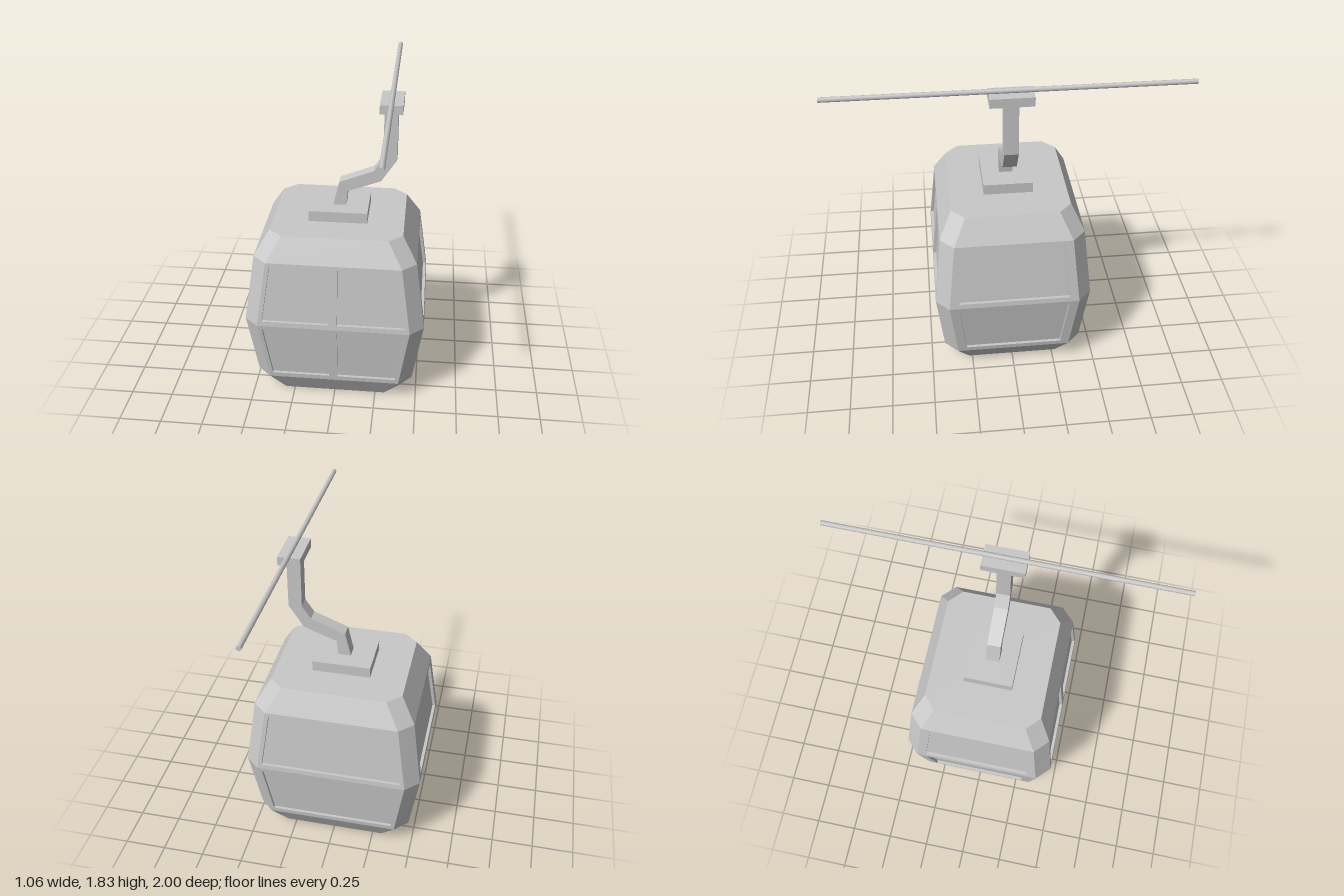
import * as THREE from 'three';

const grey = new THREE.MeshStandardMaterial({ color: 0xc8c8c8 });
grey.name = 'painted grey metal';

// cabin cross-sections: height, half width, half depth, and the flat part of each
const RINGS = [
  { y: 0, hx: 0.387, hz: 0.345, fx: 0.306, fz: 0.27 },
  { y: 0.132, hx: 0.473, hz: 0.418, fx: 0.393, fz: 0.34 },
  { y: 0.527, hx: 0.531, hz: 0.46, fx: 0.45, fz: 0.382 },
  { y: 0.935, hx: 0.473, hz: 0.418, fx: 0.391, fz: 0.34 },
  { y: 1.077, hx: 0.387, hz: 0.345, fx: 0.306, fz: 0.27 },
];
const RECESS = 0.018;

function add(parent, name, geometry, x = 0, y = 0, z = 0) {
  const mesh = new THREE.Mesh(geometry, grey);
  mesh.name = name;
  mesh.position.set(x, y, z);
  parent.add(mesh);
  return mesh;
}

const polygon = (points) => new THREE.Shape(points.map(([x, y]) => new THREE.Vector2(x, y)));

// octagonal shell; the window walls between rings 1 and 3 are left open
function shellGeometry() {
  const loops = RINGS.map(({ y, hx, hz, fx, fz }) => [
    [fx, y, hz], [hx, y, fz], [hx, y, -fz], [fx, y, -hz],
    [-fx, y, -hz], [-hx, y, -fz], [-hx, y, fz], [-fx, y, hz],
  ]);
  const pos = [];
  const tri = (a, b, c) => pos.push(...a, ...b, ...c);
  for (let r = 0; r < 4; r++) {
    for (let i = 0; i < 8; i++) {
      if ((r === 1 || r === 2) && i % 2 === 1) continue;
      const j = (i + 1) % 8;
      tri(loops[r][i], loops[r][j], loops[r + 1][j]);
      tri(loops[r][i], loops[r + 1][j], loops[r + 1][i]);
    }
  }
  for (let i = 1; i < 7; i++) {
    tri(loops[4][0], loops[4][i], loops[4][i + 1]);
    tri(loops[0][0], loops[0][i + 1], loops[0][i]);
  }
  const g = new THREE.BufferGeometry();
  g.setAttribute('position', new THREE.Float32BufferAttribute(pos, 3));
  g.computeVertexNormals();
  return g;
}

// sloping wall with recessed panels, built facing +z and then turned
function windowWall(name, lower, upper, flat, half, panes, angle) {
  const group = new THREE.Group();
  group.name = name;
  group.rotation.y = angle;
  const slope = (upper[half] - lower[half]) / (upper.y - lower.y);
  const lean = (geometry, shift) => {
    const p = geometry.attributes.position;
    for (let i = 0; i < p.count; i++) {
      p.setZ(i, p.getZ(i) + lower[half] + slope * (p.getY(i) - lower.y) + shift);
    }
    geometry.computeVertexNormals();
    return geometry;
  };
  const wall = polygon([
    [-lower[flat], lower.y], [lower[flat], lower.y],
    [upper[flat], upper.y], [-upper[flat], upper.y],
  ]);
  // panel edges follow the wall edges
  const y0 = lower.y + 0.03;
  const y1 = upper.y - 0.025;
  const edge = (y) => lower[flat] + (upper[flat] - lower[flat]) * (y - lower.y) / (upper.y - lower.y) - 0.025 - 0.03 * (flat === 'fz');
  const outlines = panes === 2
    ? [
      [[-edge(y0), y0], [-0.028, y0], [-0.028, y1], [-edge(y1), y1]],
      [[0.024, y0], [edge(y0), y0], [edge(y1), y1], [0.024, y1]],
    ]
    : [[[-edge(y0), y0], [edge(y0), y0], [edge(y1), y1], [-edge(y1), y1]]];
  for (const outline of outlines) {
    wall.holes.push(polygon(outline));
    add(group, 'recessedPanel', lean(new THREE.ShapeGeometry(polygon(outline)), -RECESS));
  }
  const frame = new THREE.ExtrudeGeometry(wall, { depth: RECESS, bevelEnabled: false });
  add(group, 'windowFrame', lean(frame, -RECESS));
  return group;
}

export function createModel() {
  const model = new THREE.Group();
  model.name = 'cableCar';

  // cabin
  const cabin = new THREE.Group();
  cabin.name = 'cabin';
  model.add(cabin);
  add(cabin, 'cabinShell', shellGeometry());
  const sides = [
    ['front', 'fx', 'hz', 2], ['left', 'fz', 'hx', 1],
    ['back', 'fx', 'hz', 1], ['right', 'fz', 'hx', 1],
  ];
  sides.forEach(([side, flat, half, panes], i) => {
    for (const [level, r] of [['Lower', 1], ['Upper', 2]]) {
      cabin.add(windowWall(`${side}${level}Wall`, RINGS[r], RINGS[r + 1], flat, half, panes, i * Math.PI / 2));
    }
  });

  // roof mount
  add(model, 'roofMount', new THREE.BoxGeometry(0.345, 0.065, 0.288), -0.002, 1.109, 0.002);

  // bent hanger arm
  const arm = polygon([
    [-0.04, 1.135], [0.037, 1.135], [0.046, 1.232], [0.24, 1.305], [0.329, 1.44],
    [0.329, 1.755], [0.25, 1.755], [0.25, 1.445], [0.198, 1.368], [-0.004, 1.289],
  ]);
  add(model, 'hangerArm', new THREE.ExtrudeGeometry(arm, { depth: 0.08, bevelEnabled: false }), 0, 0, -0.038);

  // cable clamp and cable
  add(model, 'cableClamp', new THREE.BoxGeometry(0.13, 0.053, 0.242), 0.292, 1.774, 0.001);
  const cable = new THREE.CylinderGeometry(0.0145, 0.0145, 2, 8);
  cable.rotateX(Math.PI / 2);
  add(model, 'cable', cable, 0.292, 1.814, 0);

  return model;
}
